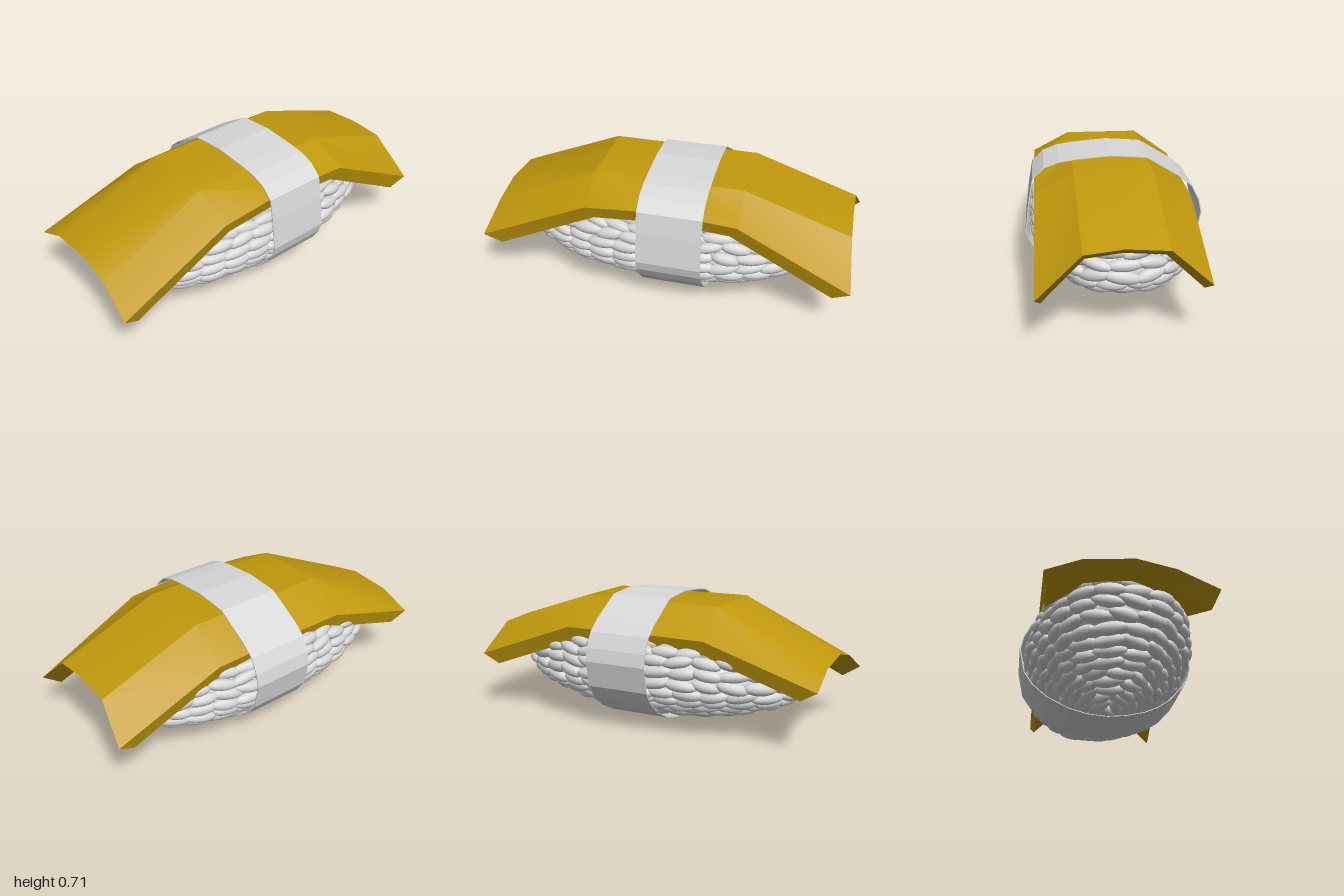
import * as THREE from 'three';
import { mergeGeometries, toCreasedNormals } from 'three/addons/utils/BufferGeometryUtils.js';

const white = new THREE.MeshStandardMaterial({ color: 0xd8d8d8 });
white.name = 'rice white';
const gold = new THREE.MeshStandardMaterial({ color: 0xc0980c });
gold.name = 'golden yellow';

let seed = 7;
const jitter = (amount) => {
  seed = (seed * 16807) % 2147483647;
  return (seed / 2147483647 - 0.5) * 2 * amount;
};

// Point on the rice body: round below, boxier above
const centreY = 0.31;
const pow = (v, e) => Math.sign(v) * Math.abs(v) ** e;
function bodyPoint(phi, theta) {
  const e = phi < 0 ? 1.06 : 0.6;
  const r = pow(Math.cos(phi), e);
  return new THREE.Vector3(
    0.422 * r * pow(Math.cos(theta), 0.9),
    centreY + (phi < 0 ? 0.25 : 0.205) * pow(Math.sin(phi), e),
    0.835 * r * pow(Math.sin(theta), 0.9)
  );
}

// Parameters that divide a curve into steps of equal length
function evenSteps(f, t0, t1, step) {
  const n = 400, lengths = [0];
  const at = (i) => t0 + ((t1 - t0) * i) / n;
  for (let i = 1; i <= n; i++) lengths.push(lengths[i - 1] + f(at(i)).distanceTo(f(at(i - 1))));
  const count = Math.max(3, Math.round(lengths[n] / step));
  const out = [];
  for (let k = 0, i = 0; k < count; k++) {
    while (lengths[i] < (lengths[n] * (k + 0.5)) / count) i++;
    out.push(at(i));
  }
  return out;
}

// Rows of grains lying flat around the body
function riceGrains() {
  const grain = new THREE.SphereGeometry(1, 12, 8);
  grain.rotateZ(Math.PI / 2);
  const parts = [];
  const h = 0.01;
  const rows = evenSteps((p) => bodyPoint(p, 0.6), -1.55, 1.55, 0.058);
  rows.forEach((phi, row) => {
    const shift = (row % 2) * 0.09 + jitter(0.04);
    for (const t of evenSteps((a) => bodyPoint(phi, a), shift, shift + Math.PI * 2, 0.134)) {
      const p = bodyPoint(phi, t);
      const tangent = bodyPoint(phi, t + h).sub(bodyPoint(phi, t - h)).normalize();
      const rise = bodyPoint(phi + h, t).sub(bodyPoint(phi - h, t));
      const normal = rise.cross(tangent).normalize();
      const side = normal.clone().cross(tangent);
      const m = new THREE.Matrix4().makeBasis(tangent, side, normal);
      m.multiply(new THREE.Matrix4().makeRotationZ(jitter(0.22)));
      m.scale(new THREE.Vector3(0.086 + jitter(0.008), 0.034 + jitter(0.003), 0.034));
      m.setPosition(p.addScaledVector(normal, jitter(0.006)));
      parts.push(grain.clone().applyMatrix4(m));
    }
  });
  return mergeGeometries(parts);
}

// Bent slab: one row of five top points per station, front to back
function slabGeometry() {
  const xs = [-0.38, -0.18, 0.02, 0.22, 0.42];
  const stations = [
    { x: [-0.387, -0.21, 0.035, 0.22, 0.412], y: [0.345, 0.42, 0.44, 0.395, 0.29],
      z: [0.98, 0.975, 0.975, 0.98, 1], dz: -0.09, dy: -0.056 },
    { x: xs, y: [0.53, 0.675, 0.675, 0.675, 0.57], z: Array(5).fill(0.39), dz: -0.04, dy: -0.07 },
    { x: xs, y: [0.535, 0.675, 0.675, 0.675, 0.602], z: Array(5).fill(0), dz: 0, dy: -0.075 },
    { x: xs, y: [0.53, 0.675, 0.675, 0.675, 0.575], z: Array(5).fill(-0.41), dz: 0.04, dy: -0.07 },
    { x: [-0.378, -0.19, 0.02, 0.21, 0.428], y: [0.32, 0.48, 0.495, 0.475, 0.275],
      z: [-1, -0.967, -0.965, -0.97, -1], dz: 0.09, dy: -0.056 },
  ];
  const loops = stations.map((s) => {
    const top = s.x.map((x, i) => [x, s.y[i], s.z[i]]);
    const bottom = top.map(([x, y, z]) => [x * 0.94, y + s.dy, z + s.dz]);
    return [...top, ...bottom.reverse()];
  });
  const verts = [];
  const quad = (a, b, c, d) => verts.push(...a, ...b, ...c, ...a, ...c, ...d);
  for (let j = 0; j < 4; j++) {
    for (let i = 0; i < 10; i++) {
      const k = (i + 1) % 10;
      quad(loops[j][i], loops[j][k], loops[j + 1][k], loops[j + 1][i]);
    }
  }
  const front = loops[0], back = loops[4];
  for (let i = 0; i < 4; i++) {
    quad(front[9 - i], front[8 - i], front[i + 1], front[i]);
    quad(back[i], back[i + 1], back[8 - i], back[9 - i]);
  }
  const g = new THREE.BufferGeometry();
  g.setAttribute('position', new THREE.Float32BufferAttribute(verts, 3));
  return toCreasedNormals(g, 0.38);
}

// Thin strip wrapped around rice and slab
function bandGeometry() {
  const outline = [
    [0.02, 0.71], [-0.1, 0.702], [-0.175, 0.695], [-0.36, 0.582], [-0.42, 0.53], [-0.46, 0.45],
    [-0.475, 0.38], [-0.447, 0.24], [-0.4, 0.17], [-0.32, 0.1], [-0.2, 0.04], [-0.1, 0.012],
    [0.01, 0.002], [0.11, 0.012], [0.21, 0.035], [0.28, 0.065], [0.35, 0.112], [0.42, 0.19],
    [0.46, 0.255], [0.474, 0.31], [0.452, 0.48], [0.43, 0.595], [0.37, 0.652], [0.29, 0.682], [0.2, 0.695],
  ].map(([x, y]) => new THREE.Vector2(x, y));
  const centre = new THREE.Vector2(0, 0.36);
  const shape = new THREE.Shape(outline);
  shape.holes.push(new THREE.Path(outline.map((p) => p.clone().sub(centre).multiplyScalar(0.988).add(centre))));
  return new THREE.ExtrudeGeometry(shape, { depth: 0.345, bevelEnabled: false }).translate(0, 0, -0.238);
}

export function createModel() {
  const model = new THREE.Group();
  const add = (name, geometry, material) => {
    const mesh = new THREE.Mesh(geometry, material);
    mesh.name = name;
    model.add(mesh);
    return mesh;
  };
  // Solid core closes the gaps between grains
  const core = add('riceCore', new THREE.SphereGeometry(1, 32, 20), white);
  core.scale.set(0.41, 0.21, 0.8);
  core.position.y = centreY - 0.02;
  add('riceGrains', riceGrains(), white);
  add('toppingSlab', slabGeometry(), gold);
  add('wrapBand', bandGeometry(), white);
  return model;
}
